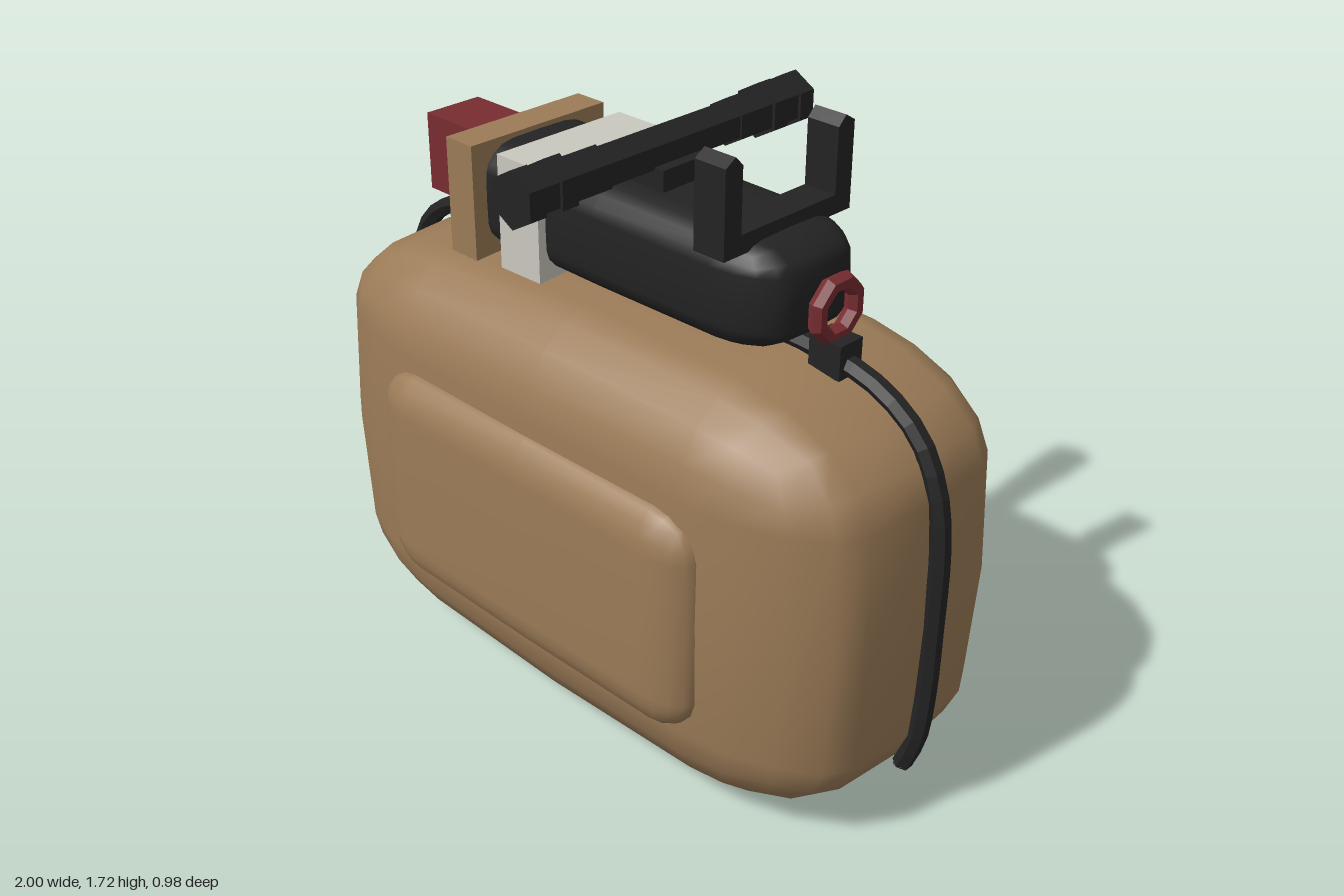
import * as THREE from 'three';
import { mergeVertices } from 'three/addons/utils/BufferGeometryUtils.js';

const mat = (name, color, flatShading = false) => {
  const m = new THREE.MeshStandardMaterial({ color });
  m.name = name;
  m.flatShading = flatShading;
  return m;
};

// Soft padded box: half sizes, flat share of each axis, and how far the faces bulge
function puff(half, inner, bulge) {
  const g = new THREE.BoxGeometry(2, 2, 2, 6, 6, 6);
  g.deleteAttribute('uv');
  g.deleteAttribute('normal');
  const pos = g.attributes.position;
  for (let i = 0; i < pos.count; i++) {
    const s = [pos.getX(i), pos.getY(i), pos.getZ(i)];
    const base = s.map((v, k) => Math.max(-1, Math.min(1, v * 3)) * inner[k]);
    const dir = new THREE.Vector3(...s.map((v) =>
      Math.sign(v) * Math.tan((Math.PI / 4) * Math.max(0, (Math.abs(v) - 1 / 3) * 1.5)))).normalize();
    const p = dir.toArray().map((d, k) => base[k] + (1 - inner[k]) * d);
    const sum = p[0] ** 2 + p[1] ** 2 + p[2] ** 2;
    pos.setXYZ(i, ...p.map((v, k) => half[k] * v * (1 - bulge * (sum - v * v))));
  }
  const merged = mergeVertices(g, 1e-4);
  merged.computeVertexNormals();
  return merged;
}

export function createModel() {
  const root = new THREE.Group();
  root.name = 'backpack';
  const tan = mat('tan canvas', 0x9b7b57);
  const black = mat('black rubber', 0x232323);
  const blackFlat = mat('black metal', 0x232323, true);
  const red = mat('red paint', 0x782d30, true);
  const white = mat('off white', 0xcac8be);

  const add = (name, geo, material, x = 0, y = 0, z = 0) => {
    const m = new THREE.Mesh(geo, material);
    m.name = name;
    m.position.set(x, y, z);
    root.add(m);
    return m;
  };
  const box = (name, material, w, h, d, x, y, z = 0) =>
    add(name, new THREE.BoxGeometry(w, h, d), material, x, y, z);

  // Bag and front pocket
  add('bag', puff([0.96, 0.605, 0.432], [0.58, 0.6, 0.53], 0.05), tan, 0, 0.612, 0);
  add('frontPocket', puff([0.587, 0.324, 0.09], [0.78, 0.66, 0.25], 0.02), tan, 0, 0.592, 0.39);

  // Piping over the top and down both sides
  const side = [[0.922, 0.16], [0.957, 0.26], [0.972, 0.4], [0.975, 0.6], [0.972, 0.85],
    [0.95, 0.98], [0.89, 1.1], [0.78, 1.18], [0.63, 1.217]];
  const path = [...side.map(([x, y]) => [-x, y]), [0, 1.22], ...side.slice().reverse()]
    .map(([x, y]) => new THREE.Vector3(x, y, 0));
  const curve = new THREE.CatmullRomCurve3(path, false, 'centripetal');
  add('piping', new THREE.TubeGeometry(curve, 60, 0.026, 6), blackFlat);
  for (const s of [-1, 1]) {
    // Cap the open ends of the piping
    const cap = add('pipingEnd', new THREE.SphereGeometry(0.025, 6, 4), blackFlat, s * 0.922, 0.16, 0);
    cap.scale.y = 0.5;
    box('pipingClip', blackFlat, 0.095, 0.09, 0.08, s * 0.628, 1.228);
  }

  // Rolled tank on top with its bands and end cap
  add('tank', puff([0.58, 0.148, 0.192], [0.7, 0.5, 0.5], 0.03), black, 0, 1.362, 0);
  box('tanBand', tan, 0.1, 0.32, 0.465, -0.45, 1.36);
  box('whiteBand', white, 0.15, 0.316, 0.43, -0.245, 1.36);
  box('redEndCap', red, 0.18, 0.22, 0.18, -0.67, 1.37);

  // Valve wheel
  const wheel = add('valveWheel', new THREE.TorusGeometry(0.07, 0.023, 6, 8), red, 0.623, 1.343, 0);
  wheel.rotation.set(0, Math.PI / 2, 0);
  wheel.geometry.rotateZ(Math.PI / 8);

  // Hexagonal cross bar with collars
  const hex = (name, r, len, z) => {
    const g = new THREE.CylinderGeometry(r, r, len, 6).rotateX(Math.PI / 2);
    add(name, g, blackFlat, 0.057, 1.587, z);
  };
  hex('crossBar', 0.058, 0.94, 0);
  for (const s of [-1, 1]) {
    hex('barSleeve', 0.064, 0.24, s * 0.345);
    hex('barCollar', 0.074, 0.05, s * 0.365);
    hex('barTip', 0.074, 0.05, s * 0.465);
  }
  box('barMount', blackFlat, 0.16, 0.08, 0.16, 0.058, 1.525);

  // U-shaped bracket with pointed posts
  const u = new THREE.Shape([[-0.222, 1.48], [0.222, 1.48], [0.222, 1.705], [0.19, 1.725], [0.165, 1.7],
    [0.165, 1.53], [-0.165, 1.53], [-0.165, 1.7], [-0.19, 1.725], [-0.222, 1.705]]
    .map(([x, y]) => new THREE.Vector2(x, y)));
  const bracket = new THREE.ExtrudeGeometry(u, { depth: 0.095, bevelEnabled: false });
  bracket.rotateY(Math.PI / 2);
  add('bracket', bracket, blackFlat, 0.375, 0, 0);

  return root;
}
